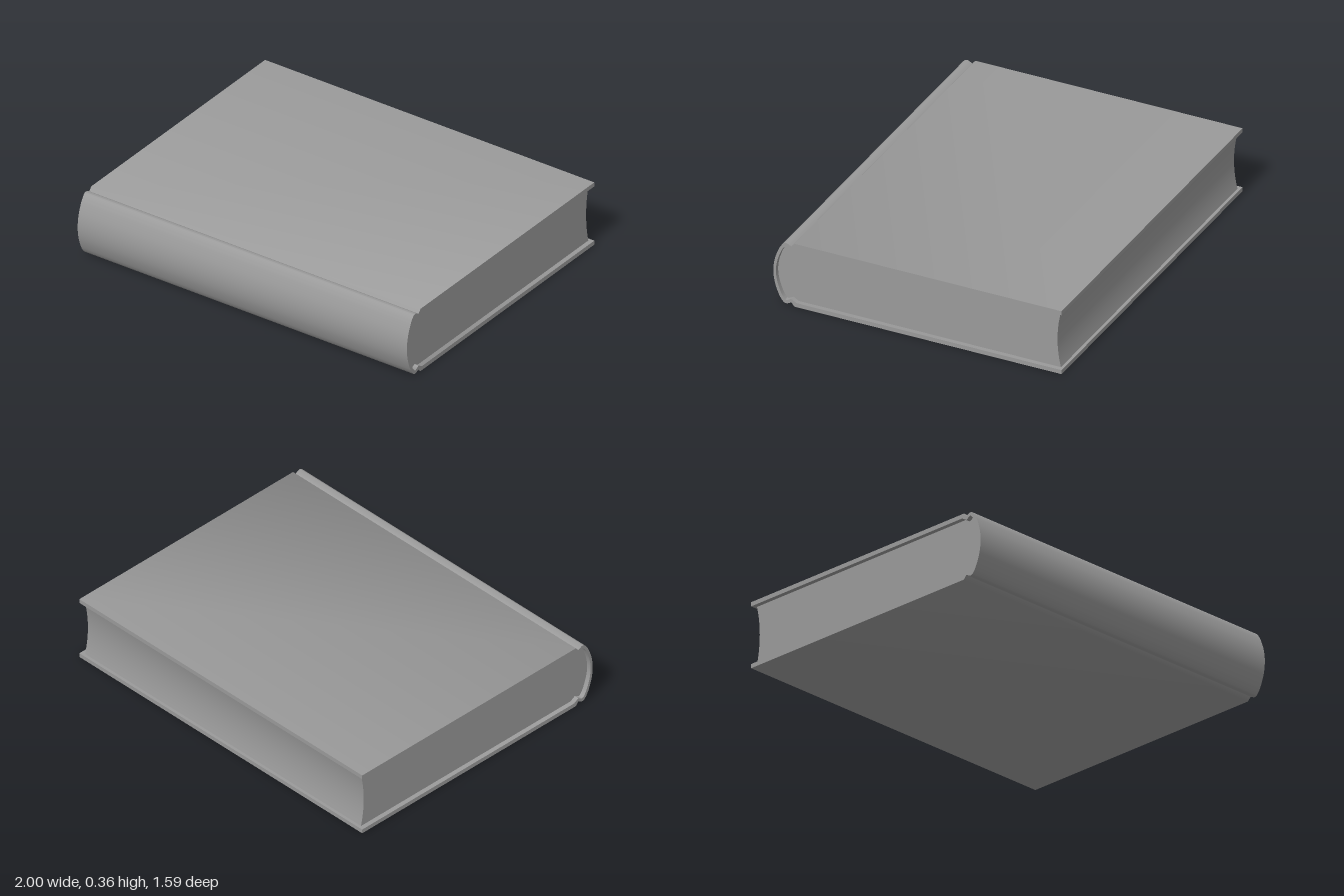
import * as THREE from 'three';
import { toCreasedNormals } from 'three/addons/utils/BufferGeometryUtils.js';

const MID = 0.18; // half the thickness of the book
const BACK = -0.796;
const material = new THREE.MeshStandardMaterial({ color: 0x9a9a9a });

const points = (list) => list.map(([z, h]) => new THREE.Vector2(z, h));
const mirrored = (list) => list.map((p) => new THREE.Vector2(p.x, -p.y)).reverse();

// Upper half of a cover line: flat board, hinge groove, then the rounded spine.
// Heights are measured from the middle of the book.
function coverHalf(board, spine) {
  const full = points(spine).concat(mirrored(points(spine)).slice(1));
  const curve = new THREE.SplineCurve(full).getPoints(48);
  return points(board).concat(curve.slice(0, 25));
}

// Closed outline from an upper half that ends on the middle line
const wholeLine = (half) => half.concat(mirrored(half).slice(1));

// Extrude a (z, height) outline along x, centred.
// The crease angle keeps the groove bottom sharp and softens the board into the groove.
function extrudeAlongX(outline, length) {
  const geometry = new THREE.ExtrudeGeometry(new THREE.Shape(outline), {
    depth: length, bevelEnabled: false,
  });
  geometry.translate(0, MID, -length / 2);
  geometry.rotateY(-Math.PI / 2);
  return toCreasedNormals(geometry, 0.95);
}

export function createModel() {
  const book = new THREE.Group();
  book.name = 'book';

  const outer = wholeLine(coverHalf(
    [[BACK, 0.18], [0.68, 0.18], [0.697, 0.16]],
    [[0.72, 0.172], [0.739, 0.168], [0.764, 0.133], [0.788, 0.067], [0.796, 0]],
  ));
  const inner = wholeLine(coverHalf(
    [[BACK, 0.157], [0.668, 0.157], [0.697, 0.14]],
    [[0.722, 0.154], [0.733, 0.149], [0.752, 0.121], [0.774, 0.06], [0.782, 0]],
  ));

  // Hard cover: two boards, hinges and spine in one strip
  const cover = new THREE.Mesh(extrudeAlongX(outer.concat([...inner].reverse()), 2), material);
  cover.name = 'cover';
  book.add(cover);

  // Page block: follows the inside of the cover, with a hollow fore edge
  const foreEdge = new THREE.QuadraticBezierCurve(
    new THREE.Vector2(-0.78, -0.157),
    new THREE.Vector2(-0.742, 0),
    new THREE.Vector2(-0.78, 0.157),
  ).getPoints(20);
  const pages = new THREE.Mesh(extrudeAlongX(foreEdge.concat(inner.slice(1, -1)), 1.95), material);
  pages.name = 'pages';
  book.add(pages);

  return book;
}
